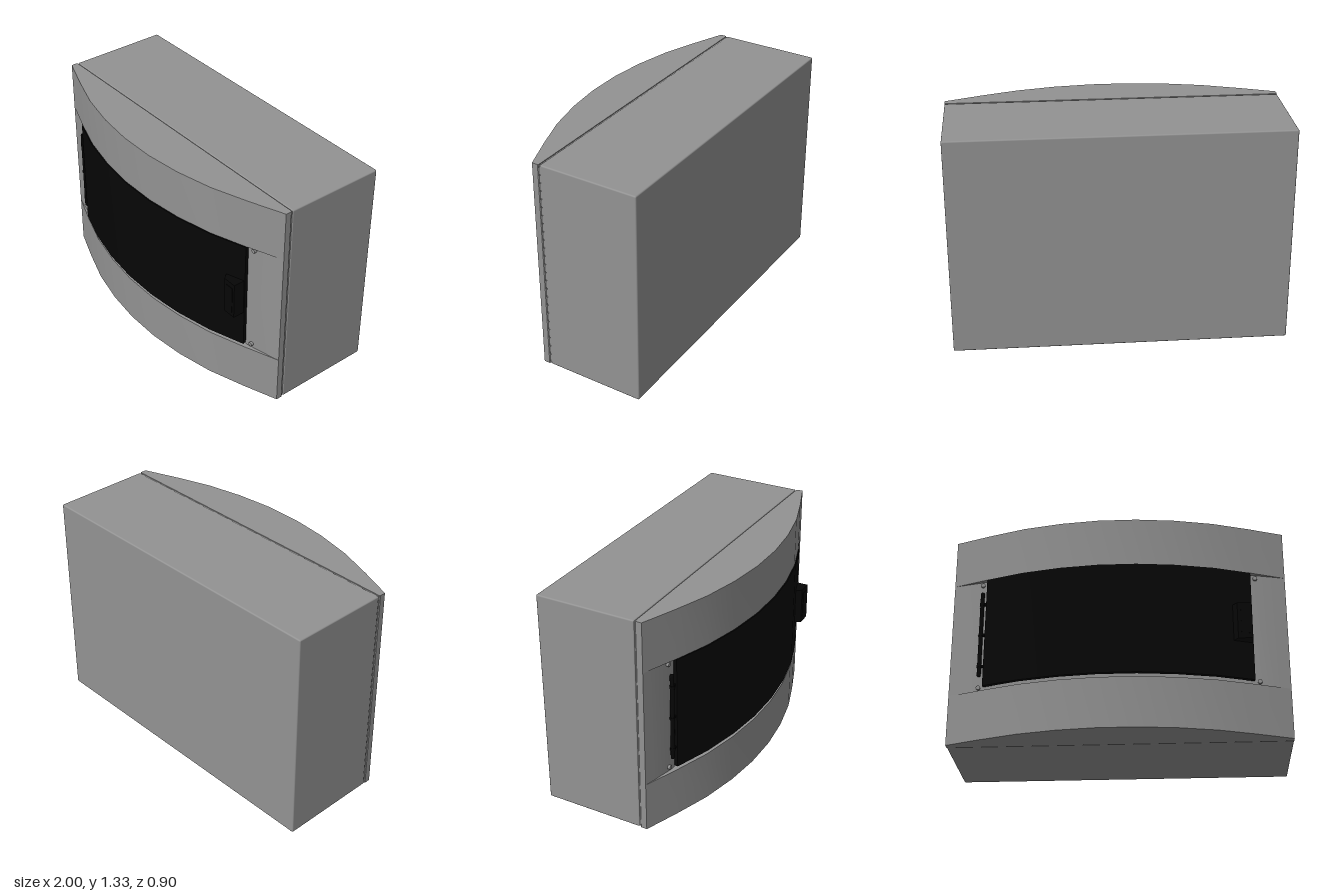
import * as THREE from 'three';
import { toCreasedNormals } from 'three/addons/utils/BufferGeometryUtils.js';
import { RoundedBoxGeometry } from 'three/addons/geometries/RoundedBoxGeometry.js';

const grey = new THREE.MeshStandardMaterial({ color: 0x939393 });
const black = new THREE.MeshStandardMaterial({ color: 0x060606 });

// bowed front, as [x, z] points from one end to the other
const half = [[0.115, 0.44], [0.34, 0.415], [0.57, 0.365], [0.79, 0.29]];
const bow = [...half.map(([x, z]) => [-x, z]).reverse(), ...half];

export function createModel() {
  const group = new THREE.Group();

  const add = (name, geometry, material, x = 0, y = 0, z = 0) => {
    const mesh = new THREE.Mesh(geometry, material);
    mesh.name = name;
    mesh.position.set(x, y, z);
    group.add(mesh);
    return mesh;
  };

  // upright slab from a plan outline of [x, z] points
  const slab = (name, plan, y0, y1, material) => {
    const shape = new THREE.Shape(plan.map(([x, z]) => new THREE.Vector2(x, -z)));
    const geometry = new THREE.ExtrudeGeometry(shape, { depth: y1 - y0, bevelEnabled: false });
    geometry.rotateX(-Math.PI / 2);
    return add(name, toCreasedNormals(geometry, 0.6), material, 0, y0, 0);
  };

  // rear housing and the narrow seam behind the cover
  add('housing', new RoundedBoxGeometry(2, 1.333, 0.613, 2, 0.008), grey, 0, 0.6665, -0.1435);
  add('seam', new THREE.BoxGeometry(1.99, 1.323, 0.03), grey, 0, 0.6665, 0.162);

  // bowed cover: full bands above and below, recessed band between
  const ends = (front) => [[-0.996, 0.169], [-1, 0.174], [-1, 0.21], ...front, [1, 0.21], [1, 0.174], [0.996, 0.169]];
  slab('coverBottom', ends(bow), 0, 0.307, grey);
  slab('coverTop', ends(bow), 1.03, 1.333, grey);
  slab('coverRecess', ends([[-0.94, 0.226], [-0.79, 0.262], [0.79, 0.262], [0.94, 0.226]]), 0.307, 1.03, grey);

  // curved door shell
  const outer = bow.map(([x, z]) => [x, z + 0.006]);
  const inner = bow.map(([x, z]) => [x * 0.995, z - 0.016]).reverse();
  slab('door', [...outer, ...inner], 0.332, 1.028, black);

  // latch grip with a thin finger pad
  slab('latch', [[0.675, 0.335], [0.7, 0.368], [0.785, 0.368], [0.785, 0.275], [0.69, 0.31]], 0.565, 0.795, black);
  add('latchPad', new THREE.BoxGeometry(0.05, 0.17, 0.004), black, 0.745, 0.68, 0.369);

  // hinge pin and knuckles
  add('hingePin', new THREE.CapsuleGeometry(0.012, 0.53, 4, 12), black, -0.815, 0.672, 0.28);
  for (const y of [0.462, 0.665, 0.868]) {
    const knuckle = add('hingeKnuckle', new THREE.CylinderGeometry(0.015, 0.015, 0.016, 12), black, -0.815, y, 0.28);
    const arm = new THREE.Mesh(new THREE.BoxGeometry(0.035, 0.014, 0.014), black);
    arm.name = 'hingeArm';
    arm.position.set(0.017, 0, 0);
    knuckle.add(arm);
  }

  // corner screws of the recessed panel
  for (const x of [-0.818, 0.818]) {
    for (const y of [0.333, 1.006]) {
      const screw = add('screw', new THREE.CylinderGeometry(0.013, 0.013, 0.016, 16), grey, x, y, 0.261);
      screw.rotation.x = Math.PI / 2;
    }
  }
  return group;
}
